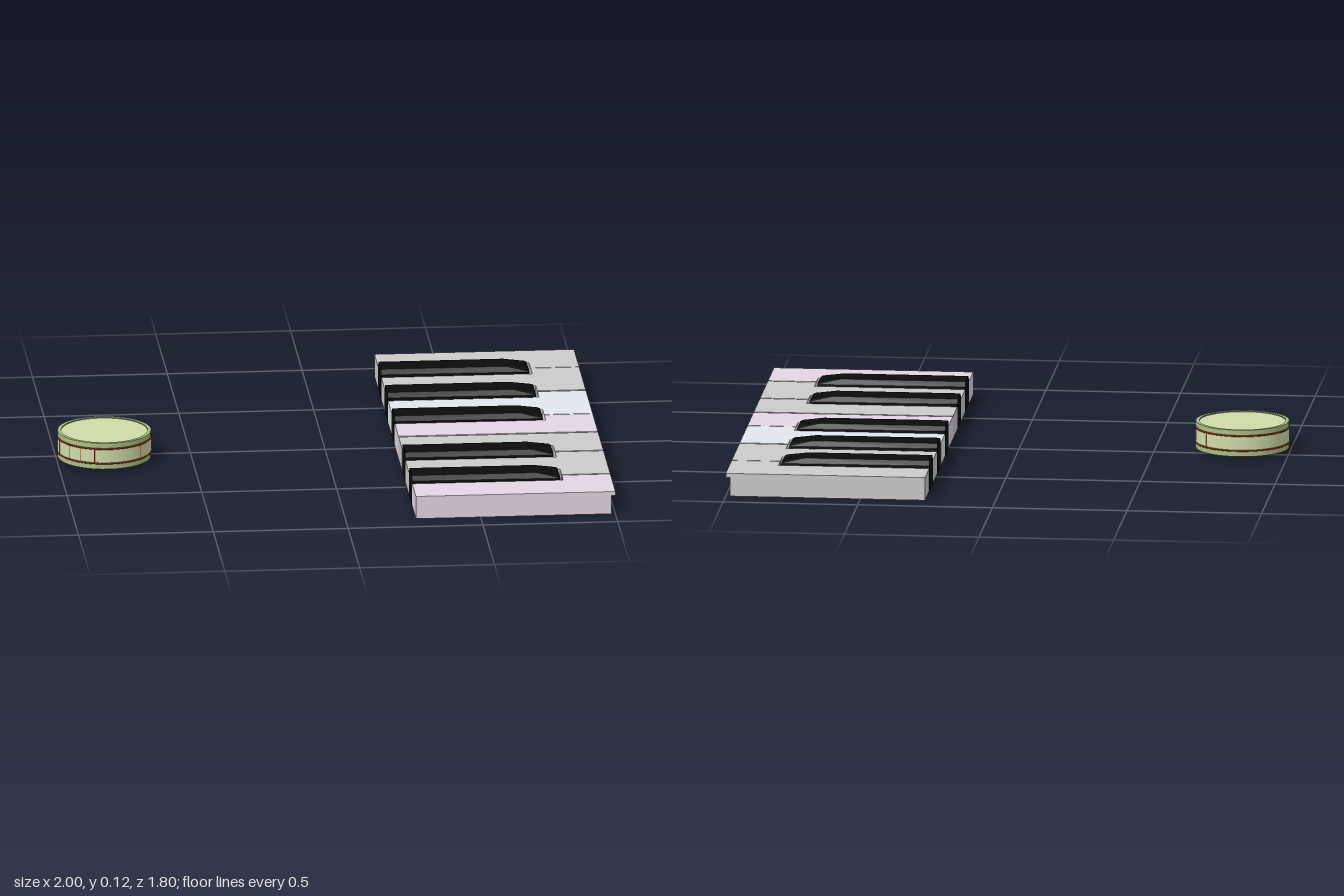
import * as THREE from 'three';
import { ConvexGeometry } from 'three/addons/geometries/ConvexGeometry.js';

const BACK = 0.26, NOTCH = 0.82;

// White key outline: wide head at the front, shank narrowed by the black keys
function keySlab(head, shank, front, y, height) {
  const s = new THREE.Shape();
  s.moveTo(BACK, -shank[1]);
  s.lineTo(NOTCH, -shank[1]);
  s.lineTo(NOTCH, -head[1]);
  s.lineTo(front, -head[1]);
  s.lineTo(front, -head[0]);
  s.lineTo(NOTCH, -head[0]);
  s.lineTo(NOTCH, -shank[0]);
  s.lineTo(BACK, -shank[0]);
  s.closePath();
  const g = new THREE.ExtrudeGeometry(s, { depth: height, bevelEnabled: false });
  g.rotateX(-Math.PI / 2);
  g.translate(0, y, 0);
  return g;
}

// Black key: straight block with chamfered top sloping down at the front
function blackKeyGeometry() {
  const pts = [];
  for (const s of [-1, 1]) {
    for (const [x, y, w] of [
      [BACK, 0, 0.065], [0.81, 0, 0.065],
      [BACK, 0.095, 0.065], [0.81, 0.092, 0.065],
      [BACK, 0.111, 0.048], [0.72, 0.111, 0.048], [0.8, 0.101, 0.048],
    ]) pts.push(new THREE.Vector3(x, y, s * w));
  }
  return new ConvexGeometry(pts);
}

export function createModel() {
  const model = new THREE.Group();
  const mat = (color) => new THREE.MeshStandardMaterial({ color });
  const add = (parent, name, geometry, material) => {
    const m = new THREE.Mesh(geometry, material);
    m.name = name;
    parent.add(m);
    return m;
  };

  // Keyboard
  const keyboard = new THREE.Group();
  keyboard.name = 'keyboard';
  model.add(keyboard);
  const white = mat(0xeceeee), blue = mat(0xe2e8ee), lilac = mat(0xe2d6e2);
  const keys = [
    { head: [-0.9, -0.68], shank: [-0.9, -0.745], m: white },
    { head: [-0.675, -0.39], shank: [-0.605, -0.455], m: white },
    { head: [-0.38, -0.09], shank: [-0.31, -0.155], m: blue },
    { head: [-0.085, 0.137], shank: [-0.02, 0.137], m: lilac },
    { head: [0.147, 0.375], shank: [0.147, 0.305], m: white },
    { head: [0.383, 0.67], shank: [0.445, 0.6], m: white },
    { head: [0.678, 0.9], shank: [0.74, 0.9], m: lilac },
  ];
  for (const { head, shank, m } of keys) {
    const key = new THREE.Group();
    key.name = 'whiteKey';
    keyboard.add(key);
    add(key, 'whiteKeyBody', keySlab(head, shank, 0.985, 0, 0.07), m);
    add(key, 'whiteKeyTop', keySlab(head, shank, 1, 0.07, 0.016), m);
  }
  const black = mat(0x0a0c0b);
  const blackGeometry = blackKeyGeometry();
  for (const z of [-0.675, -0.382, -0.085, 0.375, 0.67]) {
    add(keyboard, 'blackKey', blackGeometry, black).position.z = z;
  }

  // Drum
  const drum = new THREE.Group();
  drum.name = 'drum';
  drum.position.set(-0.824, 0, 0.057);
  model.add(drum);
  const green = mat(0xa8c080), pale = mat(0xcfdca8), red = mat(0xa02818);

  // Shell with raised rim
  const R = 0.173;
  const shell = new THREE.CylinderGeometry(R, R, 0.1, 48, 1, true);
  shell.translate(0, 0.065, 0);
  add(drum, 'drumShell', shell, green);
  const rim = new THREE.RingGeometry(0.16, R, 48);
  rim.rotateX(-Math.PI / 2);
  rim.translate(0, 0.115, 0);
  add(drum, 'drumRim', rim, green);
  const lip = new THREE.CylinderGeometry(0.16, 0.16, 0.004, 48, 1, true);
  lip.translate(0, 0.113, 0);
  add(drum, 'drumRimInside', lip, new THREE.MeshStandardMaterial({ color: 0x7c9460, side: THREE.DoubleSide }));

  // Skins
  const skin = new THREE.CircleGeometry(0.161, 48);
  skin.rotateX(-Math.PI / 2);
  add(drum, 'drumTop', skin, pale).position.y = 0.111;
  const base = new THREE.CircleGeometry(R, 48);
  base.rotateX(Math.PI / 2);
  add(drum, 'drumBottom', base, green).position.y = 0.015;

  // Pale band between two red hoops
  const band = new THREE.CylinderGeometry(R + 0.001, R + 0.001, 0.056, 48, 1, true);
  add(drum, 'drumBand', band, pale).position.y = 0.065;
  const hoop = new THREE.TorusGeometry(R, 0.0035, 6, 48);
  hoop.rotateX(Math.PI / 2);
  for (const y of [0.037, 0.093]) add(drum, 'drumHoop', hoop, red).position.y = y;

  // Thin upright cords between the hoops
  const cord = new THREE.CylinderGeometry(0.002, 0.002, 0.056, 6);
  for (const deg of [-76, -53, -35, -17, 45, 135]) {
    const a = THREE.MathUtils.degToRad(deg);
    add(drum, 'drumCord', cord, red).position.set(R * Math.sin(a), 0.065, R * Math.cos(a));
  }
  return model;
}
